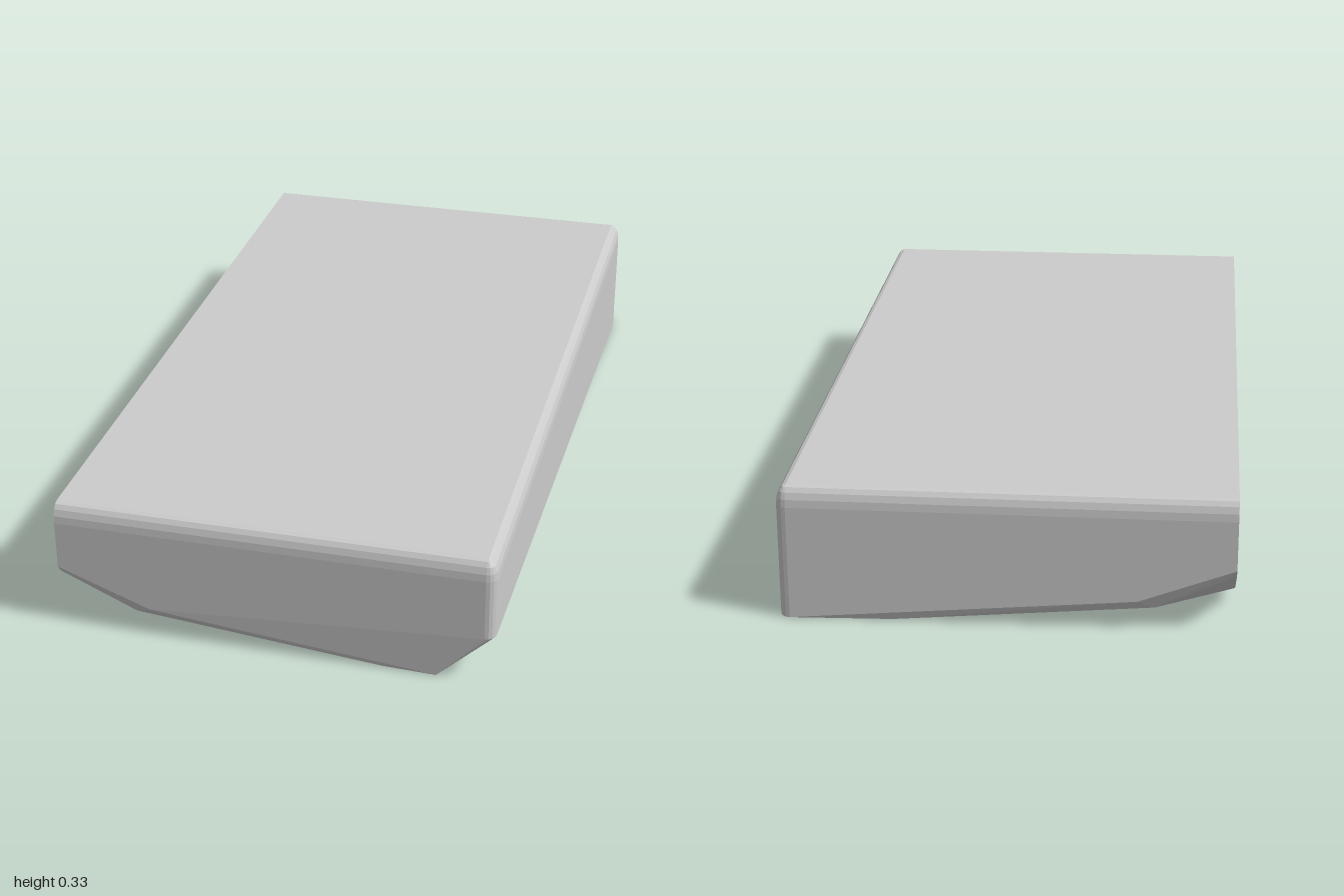
import * as THREE from 'three';
import { ConvexGeometry } from 'three/addons/geometries/ConvexGeometry.js';

const W = 0.54, L = 1, H = 0.333, R = 0.025, CROWN = 0.05, STEPS = 4;

export function createModel() {
  const group = new THREE.Group();
  const points = [];
  const add = (x, y, z) => points.push(new THREE.Vector3(x, y, z));

  // Rounded vertical corner on the +x side, inset for the crown layers
  const corner = (y, side, inset = 0) => {
    const r = R - inset;
    for (let i = 0; i <= STEPS; i++) {
      const a = (i / STEPS) * Math.PI / 2;
      add(W - R + r * Math.cos(a), y, side * (L - R + r * Math.sin(a)));
    }
  };

  for (const side of [1, -1]) {
    // Crown: elliptical rounding of the top edge, open-cut at the -x end
    for (let i = 0; i <= STEPS; i++) {
      const a = (i / STEPS) * Math.PI / 2;
      const inset = R * (1 - Math.cos(a)) * 0.999;
      const y = H - CROWN + CROWN * Math.sin(a);
      corner(y, side, inset);
      add(-W, y, side * (L - inset));
    }
    // End face lower edge, rising toward -x, with a narrow bevel
    add(-W, 0.16, side * L);
    add(-0.31, 0.073, side * L);
    add(-W, 0.14, side * 0.985);
    add(-0.35, 0.05, side * 0.98);
    add(0.27, 0, side * 0.99);
    // Bottom corner cut and slightly raised underside at -x
    add(-W, 0.036, side * 0.83);
    add(-0.13, 0, side * 0.83);
  }

  // Sloping cut along the lower +x edge: deep at the front, none at the back
  corner(0.125, 1);
  add(0.4, 0, 0.995);
  add(W, 0, -0.9);
  corner(0, -1);

  const slab = new THREE.Mesh(
    new ConvexGeometry(points),
    new THREE.MeshStandardMaterial({ color: 0xcccccc, flatShading: true })
  );
  slab.name = 'bevelledSlab';
  group.add(slab);
  return group;
}
